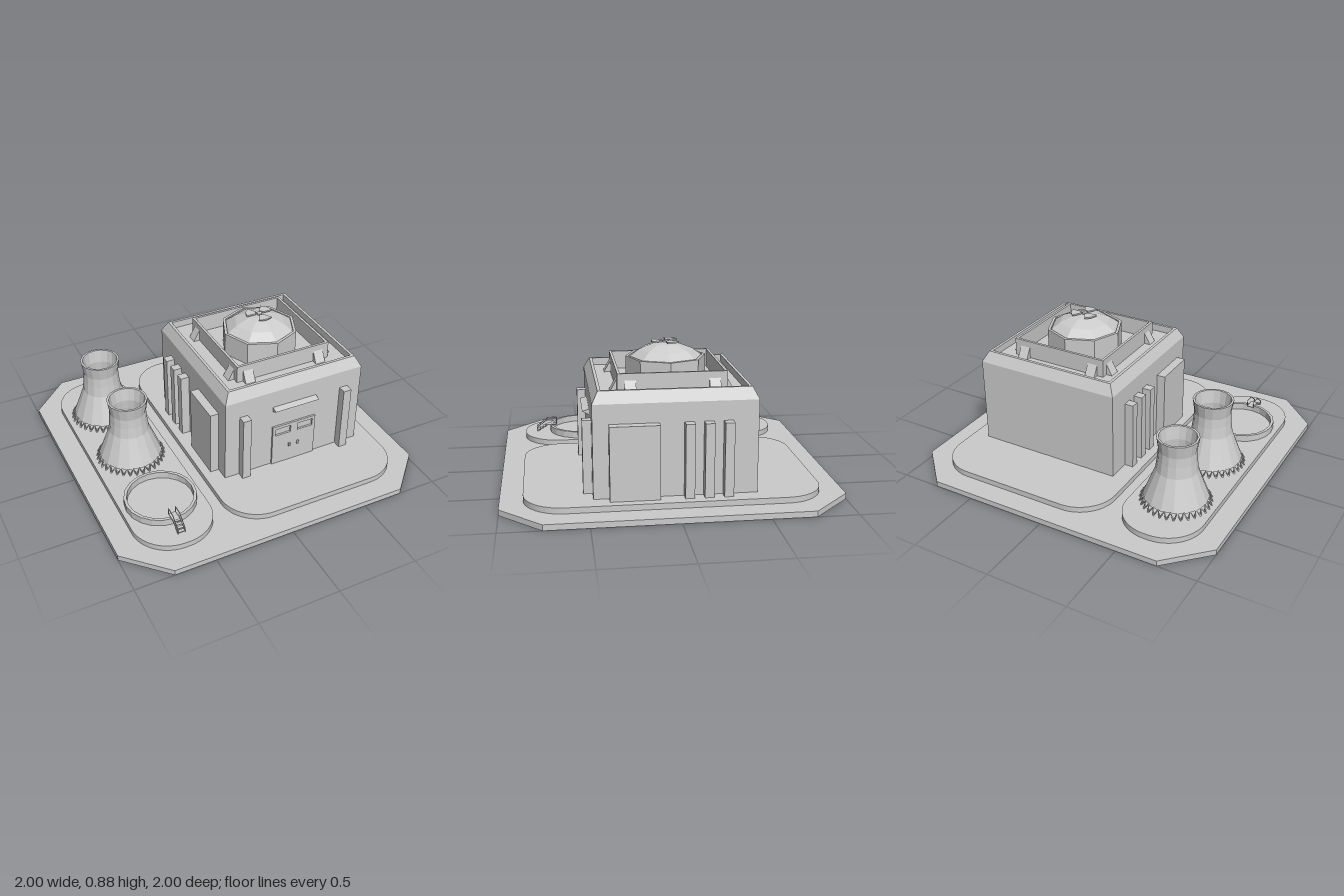
import * as THREE from 'three';
import { mergeGeometries } from 'three/addons/utils/BufferGeometryUtils.js';

const grey = new THREE.MeshStandardMaterial({ color: 0xcccccc, flatShading: true, side: THREE.DoubleSide });
const V2 = (p) => new THREE.Vector2(p[0], p[1]);
const V3 = (x, y, z) => new THREE.Vector3(x, y, z);

function add(parent, name, geometry, x = 0, y = 0, z = 0) {
  const mesh = new THREE.Mesh(geometry, grey);
  mesh.name = name;
  mesh.position.set(x, y, z);
  parent.add(mesh);
  return mesh;
}

function group(parent, name, x = 0, y = 0, z = 0) {
  const g = new THREE.Group();
  g.name = name;
  g.position.set(x, y, z);
  parent.add(g);
  return g;
}

// Box given by its limits on each axis
function boxBetween(parent, name, x0, x1, y0, y1, z0, z1) {
  return add(parent, name, new THREE.BoxGeometry(x1 - x0, y1 - y0, z1 - z0),
    (x0 + x1) / 2, (y0 + y1) / 2, (z0 + z1) / 2);
}

const extrude = (shape, depth) =>
  new THREE.ExtrudeGeometry(shape, { depth, bevelEnabled: false, curveSegments: 8 });

// Flat plate lying on the ground plane
const plate = (shape, height) => extrude(shape, height).rotateX(-Math.PI / 2);

function roundedRect(x0, x1, z, r) {
  const s = new THREE.Shape();
  s.absarc(x1 - r, z - r, r, 0, Math.PI / 2);
  s.absarc(x0 + r, z - r, r, Math.PI / 2, Math.PI);
  s.absarc(x0 + r, -z + r, r, Math.PI, Math.PI * 1.5);
  s.absarc(x1 - r, -z + r, r, Math.PI * 1.5, Math.PI * 2);
  s.closePath();
  return s;
}

// Square turned profile: points are [half width, height]
const squareLathe = (points) => new THREE.LatheGeometry(
  points.map(([h, y]) => new THREE.Vector2(h * Math.SQRT2, y)), 4, Math.PI / 4);

// Thin square bar between two points
function bar(a, b, r) {
  const dir = b.clone().sub(a);
  const g = new THREE.CylinderGeometry(r, r, dir.length(), 4);
  g.applyQuaternion(new THREE.Quaternion().setFromUnitVectors(V3(0, 1, 0), dir.normalize()));
  return g.translate((a.x + b.x) / 2, (a.y + b.y) / 2, (a.z + b.z) / 2);
}

function buildReactor(parent) {
  const hall = group(parent, 'reactorHall', 0.288);
  const roof = 0.643;

  // Hall with bevelled parapet and sunken roof, and a second wall on the roof
  add(hall, 'hallWalls', squareLathe([[0.47, 0.07], [0.47, 0.62], [0.435, 0.688], [0.417, 0.688], [0.417, roof], [0, roof]]));
  add(hall, 'upperWall', squareLathe([[0.316, roof], [0.316, 0.753], [0.3, 0.753], [0.3, roof]]));

  // Sloped buttresses, two on each side of the upper wall
  const profile = new THREE.Shape([[0.31, roof], [0.355, roof], [0.316, 0.713], [0.31, 0.713]].map(V2));
  for (let side = 0; side < 4; side++) {
    for (const offset of [-0.243, 0.243]) {
      add(hall, 'buttress', extrude(profile, 0.065).translate(0, 0, offset - 0.0325).rotateY(side * Math.PI / 2));
    }
  }

  // Octagonal drum with a rim, and faceted dome
  add(hall, 'domeDrum', new THREE.LatheGeometry(
    [[0.24, roof], [0.24, 0.788], [0.222, 0.788], [0.222, 0.778]].map(V2), 8));
  add(hall, 'dome', new THREE.LatheGeometry(
    [[0.222, 0.778], [0.212, 0.788], [0.16, 0.826], [0.08, 0.857], [0, 0.867]].map(V2), 8));

  // Three-bladed roof vent
  const vent = group(hall, 'roofVent', 0, 0.868, 0);
  for (let i = 0; i < 3; i++) {
    const a0 = i * Math.PI * 2 / 3, a1 = a0 + Math.PI / 3;
    const blade = new THREE.Shape();
    blade.absarc(0, 0, 0.086, a0, a1, false);
    blade.absarc(0, 0, 0.024, a1, a0, true);
    blade.closePath();
    add(vent, 'ventBlade', plate(blade, 0.009));
  }
  add(vent, 'ventHub', new THREE.CylinderGeometry(0.017, 0.017, 0.011, 12), 0, 0.0035, 0);

  // Side pilasters and wide panels, mirrored
  const top = 0.505;
  for (const s of [-1, 1]) {
    const x0 = s > 0 ? 0.465 : -0.525, x1 = x0 + 0.06;
    for (const z of [-0.295, -0.183, -0.072]) boxBetween(hall, 'sidePilaster', x0, x1, 0.07, top, z - 0.027, z + 0.027);
    boxBetween(hall, 'sidePanel', x0, x1, 0.07, top, 0.095, 0.38);
    boxBetween(hall, 'frontPilaster', s * 0.348 - 0.027, s * 0.348 + 0.027, 0.07, top, 0.465, 0.522);
  }

  // Door with window openings and handles
  const door = new THREE.Shape([[-0.15, 0.07], [0.15, 0.07], [0.15, 0.357], [-0.15, 0.357]].map(V2));
  for (const s of [-1, 1]) {
    const a = s * 0.077 - 0.053, b = s * 0.077 + 0.053;
    door.holes.push(new THREE.Path([[a, 0.288], [a, 0.336], [b, 0.336], [b, 0.288]].map(V2)));
    boxBetween(hall, 'doorHandle', s * 0.03 - 0.007, s * 0.03 + 0.007, 0.18, 0.203, 0.475, 0.492);
  }
  add(hall, 'door', extrude(door, 0.012), 0, 0, 0.47);

  // Wedge canopy with a gently sloping top
  const canopy = new THREE.Shape([[0.465, 0.47], [0.51, 0.496], [0.465, 0.508]].map(V2));
  add(hall, 'doorCanopy', extrude(canopy, 0.3).translate(0, 0, -0.15).rotateY(-Math.PI / 2));
}

function buildTower(parent, x, z) {
  const tower = group(parent, 'coolingTower', x, 0, z);
  const outer = [[0.197, 0.105], [0.16, 0.2], [0.126, 0.29], [0.117, 0.36], [0.113, 0.42], [0.126, 0.503]];
  const inner = outer.map(([r, y]) => [r - 0.014, y]).reverse();
  add(tower, 'towerShell', new THREE.LatheGeometry([...outer, ...inner, outer[0]].map(V2), 16));

  // Zigzag legs under the shell
  const count = 32, legs = [];
  const at = (i, r, y) => {
    const a = i * Math.PI * 2 / count;
    return V3(Math.sin(a) * r, y, Math.cos(a) * r);
  };
  for (let i = 0; i < count; i++) {
    const foot = at(i, 0.215, 0.07);
    legs.push(bar(foot, at(i - 0.5, 0.192, 0.108), 0.004), bar(foot, at(i + 0.5, 0.192, 0.108), 0.004));
  }
  add(tower, 'towerLegs', mergeGeometries(legs));
}

function buildBasin(parent) {
  const basin = group(parent, 'waterBasin', -0.617, 0, 0.477);
  add(basin, 'basinWall', new THREE.LatheGeometry(
    [[0.219, 0.07], [0.219, 0.113], [0.201, 0.113], [0.201, 0.07]].map(V2), 20));

  // Stairs with railings
  const stairs = group(parent, 'basinStairs', -0.617);
  for (let i = 0; i < 4; i++) {
    const y = 0.08 + i * 0.011, z = 0.775 - i * 0.019;
    boxBetween(stairs, 'stairTread', -0.022, 0.022, y - 0.002, y + 0.002, z - 0.01, z + 0.01);
  }
  boxBetween(stairs, 'stairLanding', -0.022, 0.022, 0.112, 0.116, 0.648, 0.715);
  for (const x of [-0.022, 0.022]) {
    const low = V3(x, 0.073, 0.785), mid = V3(x, 0.114, 0.712), end = V3(x, 0.114, 0.652);
    const up = (p, h) => V3(p.x, p.y + h, p.z);
    const lowTop = up(low, 0.027), midTop = up(mid, 0.042), endTop = up(end, 0.042);
    const bars = [[low, mid], [mid, end], [lowTop, midTop], [midTop, endTop], [low, lowTop], [end, endTop]];
    add(stairs, 'stairRailing', mergeGeometries(bars.map(([a, b]) => bar(a, b, 0.003))));
  }
}

export function createModel() {
  const model = new THREE.Group();
  model.name = 'powerPlant';

  // Ground slab with cut corners, and two rounded pads
  const c = 0.756;
  add(model, 'groundSlab', plate(new THREE.Shape(
    [[c, -1], [1, -c], [1, c], [c, 1], [-c, 1], [-1, c], [-1, -c], [-c, -1]].map(V2)), 0.035));
  add(model, 'towerPad', plate(roundedRect(-0.865, -0.368, 0.865, 0.235), 0.035), 0, 0.035, 0);
  add(model, 'hallPad', plate(roundedRect(-0.29, 0.864, 0.865, 0.235), 0.035), 0, 0.035, 0);

  buildReactor(model);
  for (const z of [-0.485, -0.003]) buildTower(model, -0.617, z);
  buildBasin(model);
  return model;
}
